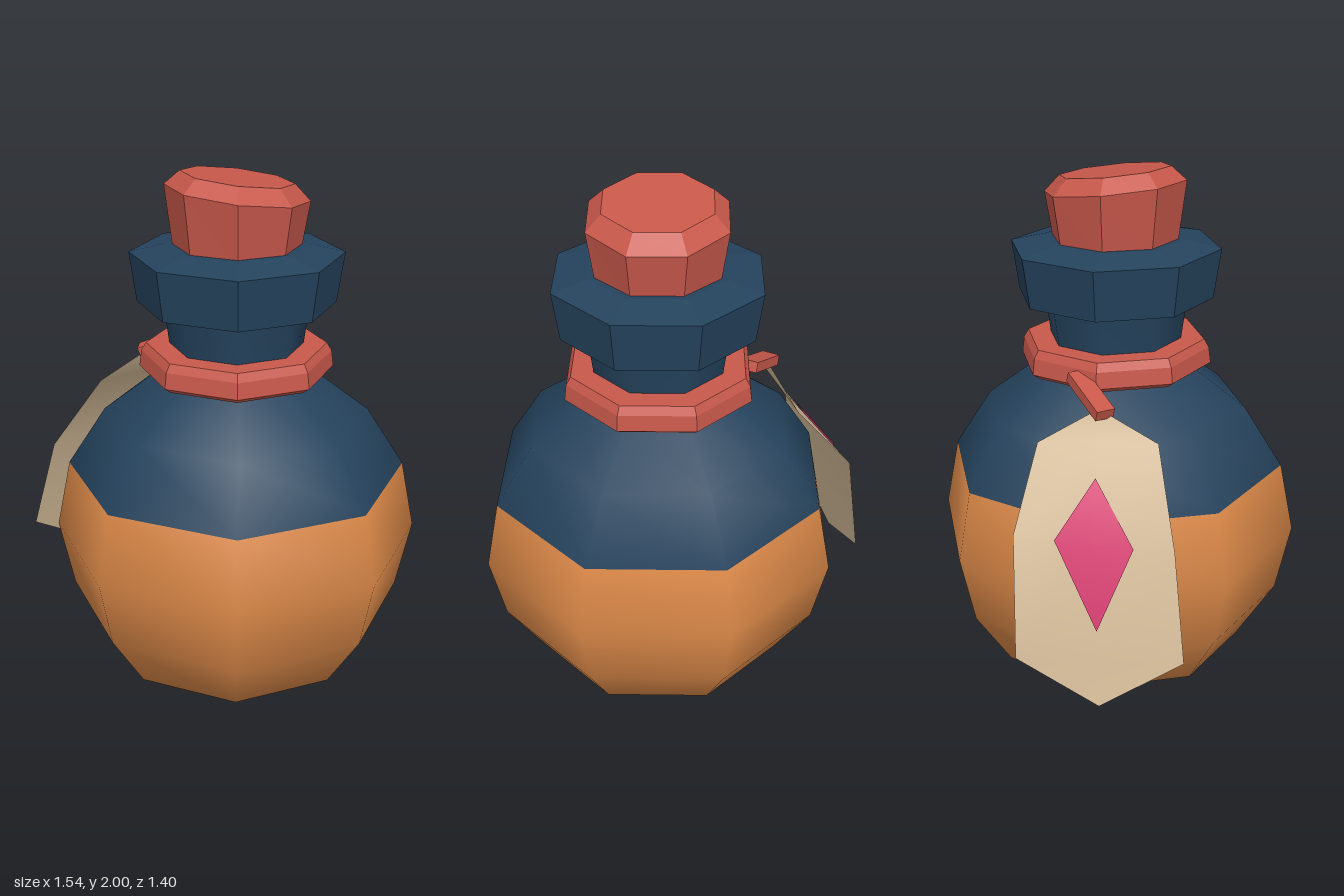
import * as THREE from 'three';

const SIDES = 8;
const V = (x, y, z) => new THREE.Vector3(x, y, z);
const mat = (name, color, extra = {}) =>
  Object.assign(new THREE.MeshStandardMaterial({ color }), { name }, extra);

// Eight-sided turned shape from [radius, height] pairs, listed bottom to top
const lathe = (profile) =>
  new THREE.LatheGeometry(profile.map(([r, y]) => new THREE.Vector2(r, y)), SIDES);

function flat(geometry) {
  const g = geometry.toNonIndexed();
  g.computeVertexNormals();
  return g;
}

// Keep only the lathe bands whose mean height passes the test, with shared normals
function bands(geometry, test) {
  const src = geometry.index.array, pos = geometry.attributes.position, keep = [];
  for (let i = 0; i < src.length; i += 3) {
    const tri = [src[i], src[i + 1], src[i + 2]];
    const y = tri.reduce((s, k) => s + pos.getY(k), 0) / 3;
    if (test(y)) keep.push(...tri);
  }
  return geometry.clone().setIndex(keep);
}

function triangles(points, index) {
  const g = new THREE.BufferGeometry().setFromPoints(points);
  g.setIndex(index);
  return g;
}

export function createModel() {
  const group = new THREE.Group();
  const orange = mat('liquid orange', 0xd98747);
  const navy = mat('glass navy', 0x25435d);
  const red = mat('cork red', 0xc8584b);
  const tan = mat('paper tan', 0xd6bd9a, { side: THREE.DoubleSide });
  const pink = mat('mark pink', 0xd63b70, { side: THREE.DoubleSide });

  const add = (name, geometry, material, parent = group) => {
    const mesh = new THREE.Mesh(geometry, material);
    mesh.name = name;
    parent.add(mesh);
    return mesh;
  };

  const bottle = new THREE.Group();
  bottle.name = 'bottle';
  bottle.position.x = 0.07;
  group.add(bottle);

  // Round body, split at the liquid level
  const level = 0.87;
  const body = lathe([[0, 0], [0.265, 0], [0.5, 0.11], [0.645, 0.34], [0.7, 0.605],
    [0.645, level], [0.5, 1.095], [0.3, 1.245]]);
  add('liquid', bands(body, (y) => y < level), orange, bottle);
  add('shoulder', bands(body, (y) => y > level), navy, bottle);

  // Neck and lip
  add('neck', lathe([[0.3, 1.245], [0.25, 1.3], [0.25, 1.36], [0.27, 1.51]]), navy, bottle);
  add('lipUnderside', flat(lathe([[0.25, 1.5], [0.367, 1.52]])), red, bottle);
  add('lip', flat(lathe([[0.367, 1.52], [0.393, 1.705], [0.26, 1.735], [0.2, 1.735]])), navy, bottle);

  // Cord ring round the neck
  add('cordRing', flat(lathe([[0.24, 1.25], [0.335, 1.25], [0.363, 1.27], [0.355, 1.33],
    [0.337, 1.36], [0.24, 1.36]])), red, bottle);

  // Cork with a slanted top
  const cork = lathe([[0.23, 1.7], [0.262, 1.92], [0.205, 1.975], [0, 1.975]]);
  const p = cork.attributes.position;
  for (let i = 0; i < p.count; i++) {
    if (p.getY(i) > 1.8) p.setY(i, p.getY(i) - 0.117 * p.getX(i) + 0.04 * p.getZ(i));
  }
  add('cork', flat(cork), red, bottle);

  // Cord end that holds the tag
  const from = V(-0.1, 1.305, -0.285), to = V(-0.31, 1.225, -0.3);
  const cord = add('cordEnd', new THREE.BoxGeometry(0.07, 0.04, from.distanceTo(to)), red);
  cord.position.copy(from).lerp(to, 0.5);
  cord.lookAt(to);

  // Paper tag: folded rows of [left edge, middle, right edge] between two tips
  const rows = [
    [V(-0.15, 1.11, -0.48), V(-0.46, 1.14, -0.18)],
    [V(-0.275, 0.85, -0.66), V(-0.67, 0.83, -0.26)],
    [V(-0.34, 0.405, -0.705), V(-0.77, 0.46, -0.29)],
  ].map(([a, b]) => [a, a.clone().lerp(b, 0.5), b]);
  const points = [V(-0.27, 1.235, -0.3), ...rows.flat(), V(-0.59, 0.275, -0.52)];
  const index = [];
  for (let c = 1; c <= 2; c++) {
    index.push(0, c, c + 1, 10, c + 7, c + 6);
    for (let r = c; r < c + 6; r += 3) index.push(r, r + 3, r + 1, r + 1, r + 3, r + 4);
  }
  const tag = triangles(points, index);
  tag.computeVertexNormals();
  add('tag', tag, tan);

  // Diamond mark, folded with the tag and lifted just off its outer face
  const [upper, fold, lower] = rows;
  const out = V(-0.65, 0.35, -0.67).normalize().multiplyScalar(0.009);
  const mark = [
    upper[1].clone().lerp(fold[1], 0.35),
    fold[0].clone().lerp(fold[2], 0.26),
    fold[1].clone(),
    fold[0].clone().lerp(fold[2], 0.75),
    fold[1].clone().lerp(lower[1], 0.74),
  ].map((v) => v.add(out));
  const diamond = triangles(mark, [0, 1, 2, 0, 2, 3, 1, 4, 2, 2, 4, 3]);
  diamond.computeVertexNormals();
  add('tagMark', diamond, pink);

  return group;
}
